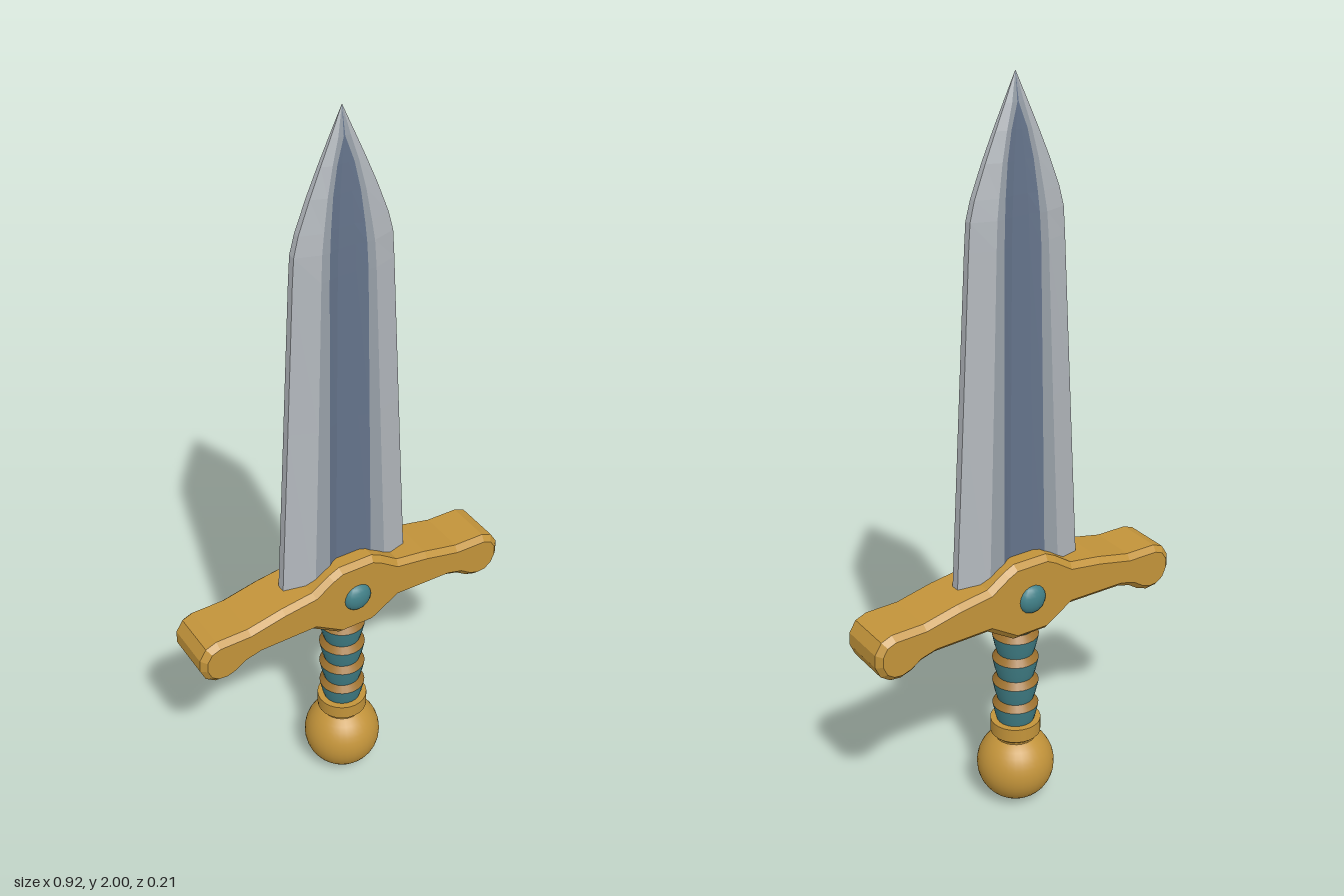
import * as THREE from 'three';

const mat = (name, color) => {
  const m = new THREE.MeshStandardMaterial({ color });
  m.name = name;
  return m;
};

export function createModel() {
  const gold = mat('gold', 0xc2933a);
  const bronze = mat('bronze', 0xa0732f);
  const teal = mat('teal', 0x418088);
  const steel = mat('steel', 0xb2b7bc);
  const midSteel = mat('midSteel', 0x979fa7);
  const fuller = mat('fullerSteel', 0x64738a);

  const model = new THREE.Group();
  model.name = 'dagger';
  const add = (name, geometry, material) => {
    const mesh = new THREE.Mesh(geometry, material);
    mesh.name = name;
    model.add(mesh);
    return mesh;
  };
  // Points are [radius, y] from bottom to top
  const lathe = (name, points, material, sides = 24) =>
    add(name, new THREE.LatheGeometry(points.map(p => new THREE.Vector2(...p)), sides), material);

  // Blade levels: y, half width, ridge x, fuller x, floor x, thickness, floor depth, edge thickness
  const levels = [
    [0.66, 0.189, 0.108, 0.064, 0.036, 0.043, 0.030, 0.012],
    [1.20, 0.159, 0.088, 0.057, 0.030, 0.037, 0.026, 0.011],
    [1.60, 0.137, 0.074, 0.052, 0.025, 0.032, 0.023, 0.010],
    [1.67, 0.132, 0.070, 0.049, 0.023, 0.030, 0.022, 0.010],
    [1.72, 0.119, 0.063, 0.045, 0.020, 0.027, 0.021, 0.009],
    [1.80, 0.088, 0.050, 0.036, 0.015, 0.022, 0.018, 0.008],
    [1.87, 0.058, 0.034, 0.022, 0.008, 0.017, 0.015, 0.006],
    [1.93, 0.031, 0.016, 0.002, 0.001, 0.011, 0.011, 0.004],
    [2.00, 0, 0, 0, 0, 0, 0, 0],
  ];
  const rings = levels.map(([y, w, r, f, g, t, d, e]) => {
    const front = [[w, e], [r, t], [f, t], [g, d], [-g, d], [-f, t], [-r, t], [-w, e]];
    return [...front, ...front.map(([x, z]) => [-x, -z])].map(([x, z]) => [x, y, z]);
  });
  // Each colour takes its own lengthwise strips of the blade
  const bladeStrips = (name, strips, material) => {
    const pos = [];
    for (let i = 0; i < 16; i++) {
      if (!strips.includes(i % 8)) continue;
      const j = (i + 1) % 16;
      for (let k = 0; k < rings.length - 1; k++) {
        const lo = rings[k], hi = rings[k + 1];
        pos.push(...lo[i], ...hi[i], ...hi[j]);
        if (k < rings.length - 1) pos.push(...lo[i], ...hi[j], ...lo[j]);
      }
    }
    const geo = new THREE.BufferGeometry();
    geo.setAttribute('position', new THREE.Float32BufferAttribute(pos, 3));
    geo.computeVertexNormals();
    add(name, geo, material);
  };
  bladeStrips('bladeEdges', [0, 6, 7], steel);
  bladeStrips('bladeRidges', [1, 5], midSteel);
  bladeStrips('bladeFuller', [2, 3, 4], fuller);

  // Crossguard: mirrored outline with chamfered rims
  const half = [
    [0.05, 0.777], [0.08, 0.762], [0.13, 0.728], [0.22, 0.715], [0.32, 0.693], [0.41, 0.692],
    [0.44, 0.680], [0.459, 0.650], [0.460, 0.615], [0.446, 0.583], [0.420, 0.565], [0.39, 0.562],
    [0.36, 0.572], [0.33, 0.592], [0.29, 0.603], [0.13, 0.605], [0.05, 0.555],
  ];
  const outline = [...half, ...half.map(([x, y]) => [-x, y]).reverse()];
  const bevel = 0.015;
  const guard = new THREE.ExtrudeGeometry(new THREE.Shape(outline.map(p => new THREE.Vector2(...p))), {
    depth: 0.16 - 2 * bevel, bevelEnabled: true, bevelSize: bevel,
    bevelThickness: bevel, bevelOffset: -bevel, bevelSegments: 1,
  });
  guard.translate(0, 0, -0.08 + bevel);
  add('crossguard', guard, gold);

  // Gem on both faces of the guard
  for (const side of [1, -1]) {
    const gem = add(side > 0 ? 'frontGem' : 'backGem', new THREE.SphereGeometry(0.041, 16, 10), teal);
    gem.scale.z = 0.6;
    gem.position.set(0, 0.665, side * 0.075);
  }

  // Grip: sawtooth wraps, each flaring out under a metal band
  const step = 0.073;
  for (let i = 0; i < 4; i++) {
    const y = 0.25 + i * step;
    lathe('gripWrap', [[0.050, y], [0.056, y + 0.02], [0.063, y + 0.054]], teal);
    lathe('gripBand', [[0.063, y + 0.054], [0.050, y + step]], bronze);
  }
  lathe('gripTop', [[0.050, 0.542], [0.056, 0.58]], teal);

  // Collar and pommel
  lathe('collar', [[0.05, 0.17], [0.058, 0.205]], gold);
  lathe('collar', [[0.058, 0.205], [0.069, 0.215]], gold);
  lathe('collar', [[0.069, 0.215], [0.069, 0.255]], gold);
  lathe('collar', [[0.069, 0.255], [0, 0.255]], gold);
  add('pommel', new THREE.SphereGeometry(0.107, 32, 20), gold).position.y = 0.108;

  return model;
}
